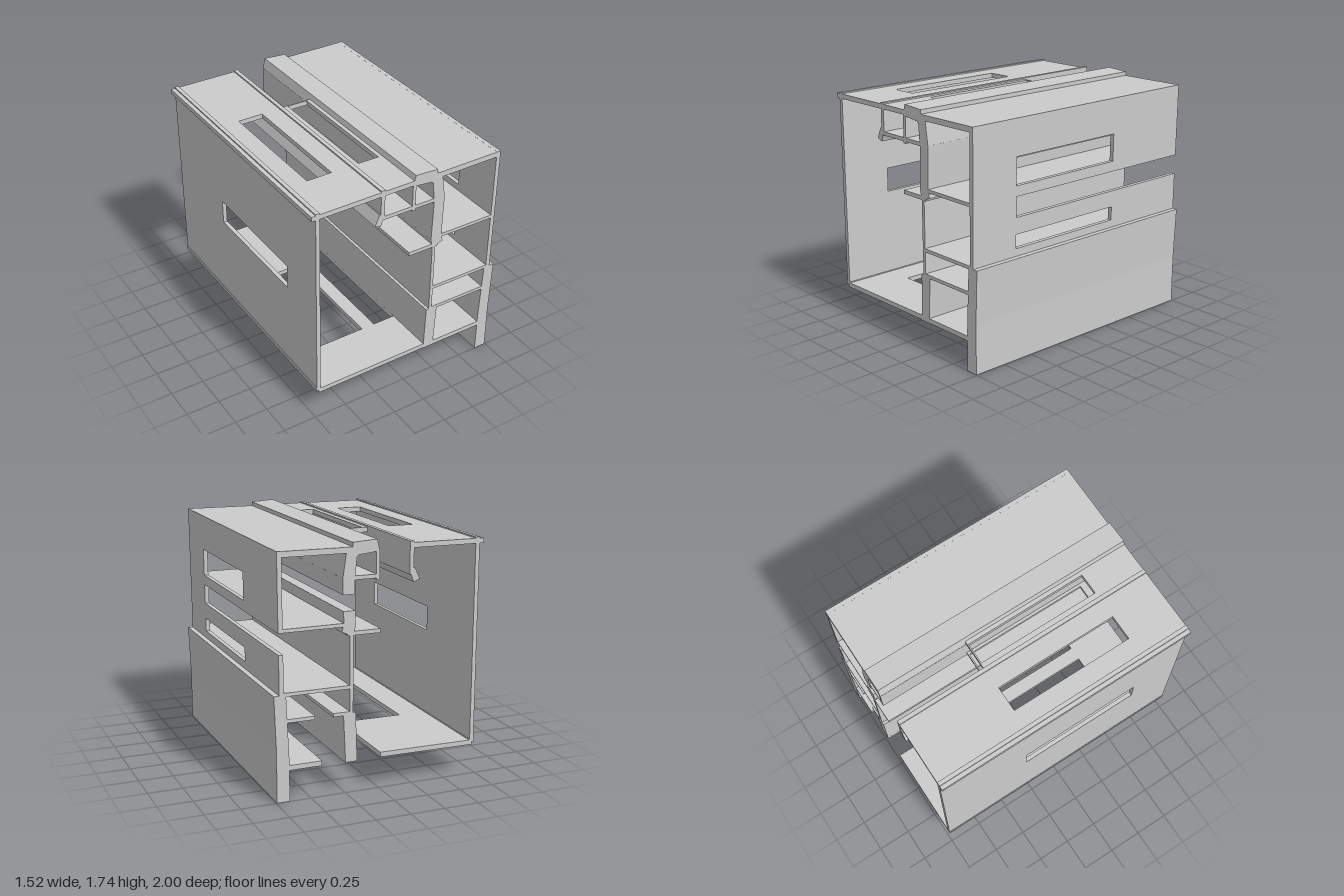
import * as THREE from 'three';

const material = new THREE.MeshStandardMaterial({ color: 0xcccccc, flatShading: true });
const Z0 = -0.31, Z1 = 0.62; // depth range shared by all windows

export function createModel() {
  const group = new THREE.Group();

  const add = (name, geometry) => {
    const mesh = new THREE.Mesh(geometry, material);
    mesh.name = name;
    group.add(mesh);
  };
  const points = list => list.map(([x, y]) => new THREE.Vector2(x, y));
  const extrude = (shape, depth) => new THREE.ExtrudeGeometry(shape, { depth, bevelEnabled: false });

  // Solid rail: a front outline running the full depth
  const rail = (name, outline) =>
    add(name, extrude(new THREE.Shape(points(outline)), 2).translate(0, 0, -1));

  // Flat panel outline from a to b, with closed windows and slots open to the back
  const panelShape = (a, b, { windows = [], slots = [], back = -1 }) => {
    const outline = [[a, 1], [b, 1], [b, back]];
    for (const [s0, s1] of [...slots].reverse()) {
      outline.push([s1, -1], [s1, Z1], [s0, Z1], [s0, -1]);
    }
    outline.push([a, back]);
    const shape = new THREE.Shape(points(outline));
    for (const [w0, w1] of windows) {
      shape.holes.push(new THREE.Path(points([[w0, Z0], [w1, Z0], [w1, Z1], [w0, Z1]])));
    }
    return shape;
  };

  // Horizontal plate, rising by slope per unit of x
  const plate = (name, x0, x1, y0, y1, cuts = {}, slope = 0) => {
    const m = new THREE.Matrix4().makeBasis(
      new THREE.Vector3(1, slope, 0), new THREE.Vector3(0, 0, 1), new THREE.Vector3(0, -1, 0));
    m.setPosition(0, y1 - slope * x0, 0);
    add(name, extrude(panelShape(x0, x1, cuts), y1 - y0).applyMatrix4(m));
  };

  // Upright wall, leaning by slope per unit of y
  const wall = (name, x0, x1, y0, y1, cuts = {}, slope = 0) => {
    const m = new THREE.Matrix4().makeBasis(
      new THREE.Vector3(slope, 1, 0), new THREE.Vector3(0, 0, 1), new THREE.Vector3(1, 0, 0));
    m.setPosition(x0 - slope * y0, 0, 0);
    add(name, extrude(panelShape(y0, y1, cuts), x1 - x0).applyMatrix4(m));
  };

  // Large chamber
  wall('leftWall', -0.735, -0.705, 0.235, 1.7, { windows: [[0.89, 1.07]] });
  rail('lowerLeftCorner', [[-0.74, 0.235], [-0.72, 0.235], [-0.72, 0.215], [-0.7, 0.215], [-0.7, 0.255], [-0.74, 0.265]]);
  plate('floor', -0.72, 0.17, 0.215, 0.25, { windows: [[-0.49, -0.115]], slots: [[-0.01, 0.165]] }, 0.008);
  plate('topLeftPlate', -0.765, -0.21, 1.655, 1.69, { windows: [[-0.57, -0.38]] }, 0.008);

  // Channel with hooked lip; its bridge stops short of the back
  const bridge = { windows: [[-0.17, -0.01]], back: Z0 - 0.01 };
  plate('topBridge', -0.21, 0.03, 1.66, 1.695, bridge);
  plate('channelShelf', -0.22, 0.02, 1.475, 1.502, bridge);
  plate('innerShelf', 0.02, 0.19, 1.475, 1.502);
  wall('channelPost', -0.24, -0.21, 1.48, 1.705);
  wall('innerPost', 0.01, 0.035, 1.462, 1.66);
  rail('hookLip', [[-0.285, 1.445], [-0.24, 1.428], [-0.215, 1.495], [-0.225, 1.515], [-0.25, 1.525]]);

  // Top cap and central wall
  rail('topCap', [[0.01, 1.655], [0.16, 1.64], [0.175, 1.625], [0.185, 1.49], [0.275, 1.485],
    [0.25, 1.655], [0.25, 1.695], [0.205, 1.695], [0.205, 1.725], [0.03, 1.735]]);
  wall('centralUpperWall', 0.18, 0.265, 1.165, 1.492, { slots: [[1.27, 1.38]] }, 0.03);
  rail('centralJoint', [[0.18, 1.17], [0.195, 1.1], [0.235, 1.1], [0.24, 1.115], [0.28, 1.13], [0.268, 1.175]]);
  plate('stubShelf', 0, 0.2, 1.102, 1.13);
  wall('centralLowerWall', 0.195, 0.22, 0.56, 1.11);
  rail('centralFoot', [[0.165, 0.25], [0.165, 0.218], [0.25, 0.218], [0.25, 0.25], [0.265, 0.55], [0.22, 0.57], [0.175, 0.565]]);

  // Right chambers
  plate('topRightPlate', 0.25, 0.72, 1.655, 1.695, {}, 0.01);
  wall('rightWall', 0.69, 0.722, 0.74, 1.7, { windows: [[0.8, 0.9], [1.24, 1.44]], slots: [[1.02, 1.165]] }, 0.01);
  plate('upperShelf', 0.26, 0.7, 1.165, 1.19);
  plate('middleShelf', 0.215, 0.7, 0.735, 0.76);
  plate('lowerShelf', 0.215, 0.68, 0.552, 0.577, { slots: [[0.34, 0.47]] });
  plate('rightFloor', 0.24, 0.66, 0.22, 0.255, { slots: [[0.25, 0.42]] });
  rail('rightLeg', [[0.653, 0], [0.745, 0], [0.745, 0.36], [0.76, 0.745], [0.675, 0.745], [0.655, 0.3]]);

  return group;
}
